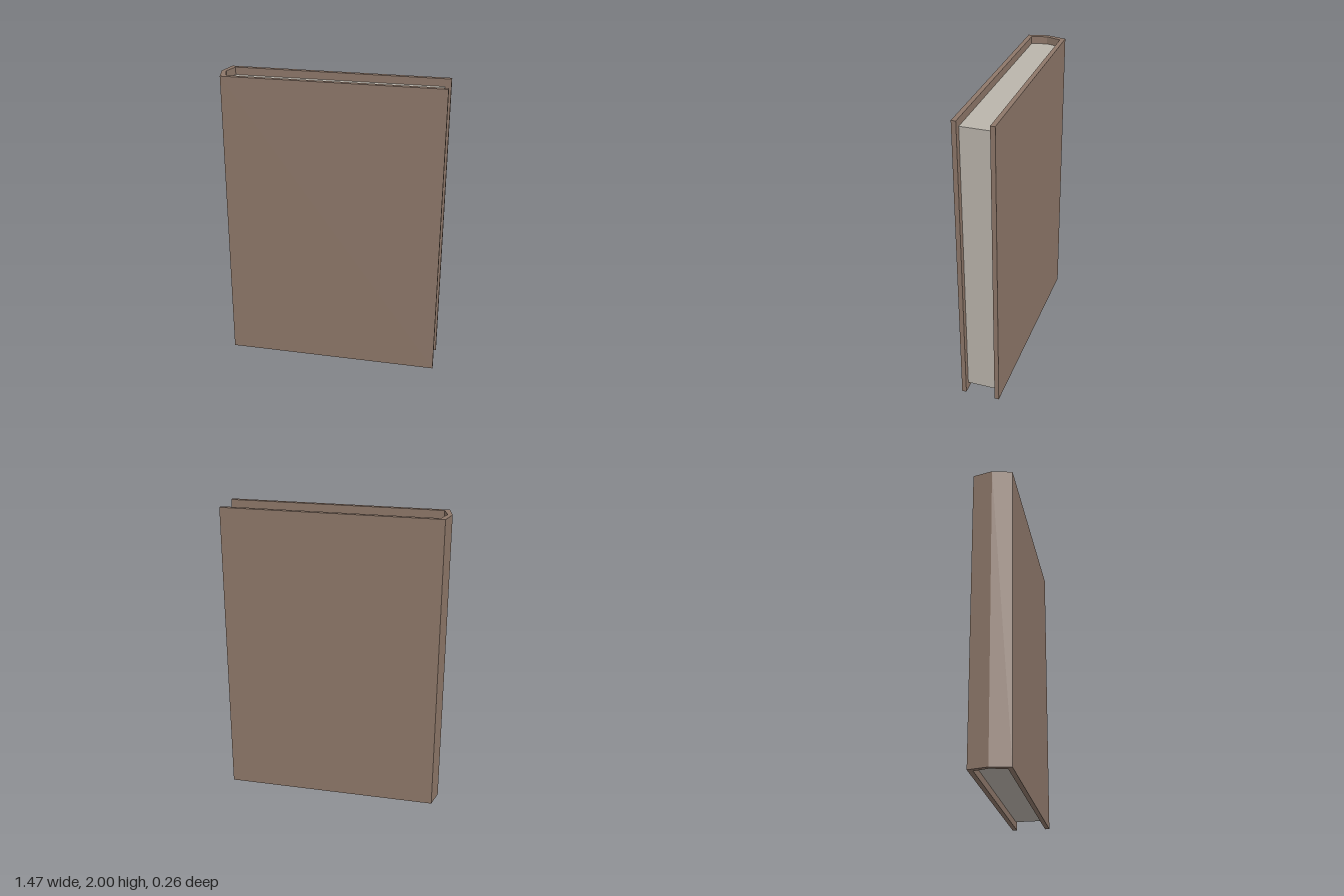
import * as THREE from 'three';

// Extrude an [x, z] outline upwards from y0 to y1
function upright(outline, y0, y1) {
  const shape = new THREE.Shape(outline.map(([x, z]) => new THREE.Vector2(x, -z)));
  const geometry = new THREE.ExtrudeGeometry(shape, { depth: y1 - y0, bevelEnabled: false });
  return geometry.rotateX(-Math.PI / 2).translate(0, y0, 0);
}

export function createModel() {
  const coverBrown = new THREE.MeshStandardMaterial({ color: 0x8d7769 });
  const paperGrey = new THREE.MeshStandardMaterial({ color: 0xbab4ab });
  const book = new THREE.Group();
  book.name = 'book';

  const spineTip = -0.735, spineEdge = -0.705, foreEdge = 0.73;
  const outer = 0.13, inner = 0.1, board = 0.03;

  // Two boards joined by a pointed spine
  const cover = new THREE.Mesh(upright([
    [foreEdge, outer], [foreEdge, inner],
    [spineEdge + board, inner], [spineTip + board, 0], [spineEdge + board, -inner],
    [foreEdge, -inner], [foreEdge, -outer],
    [spineEdge, -outer], [spineTip, 0], [spineEdge, outer],
  ], 0, 2), coverBrown);
  cover.name = 'cover';

  // Page block, set back from the cover's edges
  const pages = new THREE.Mesh(upright([
    [0.69, inner], [0.69, -inner],
    [spineEdge + board, -inner], [spineTip + board, 0], [spineEdge + board, inner],
  ], 0.05, 1.95), paperGrey);
  pages.name = 'pages';

  book.add(cover, pages);
  return book;
}
